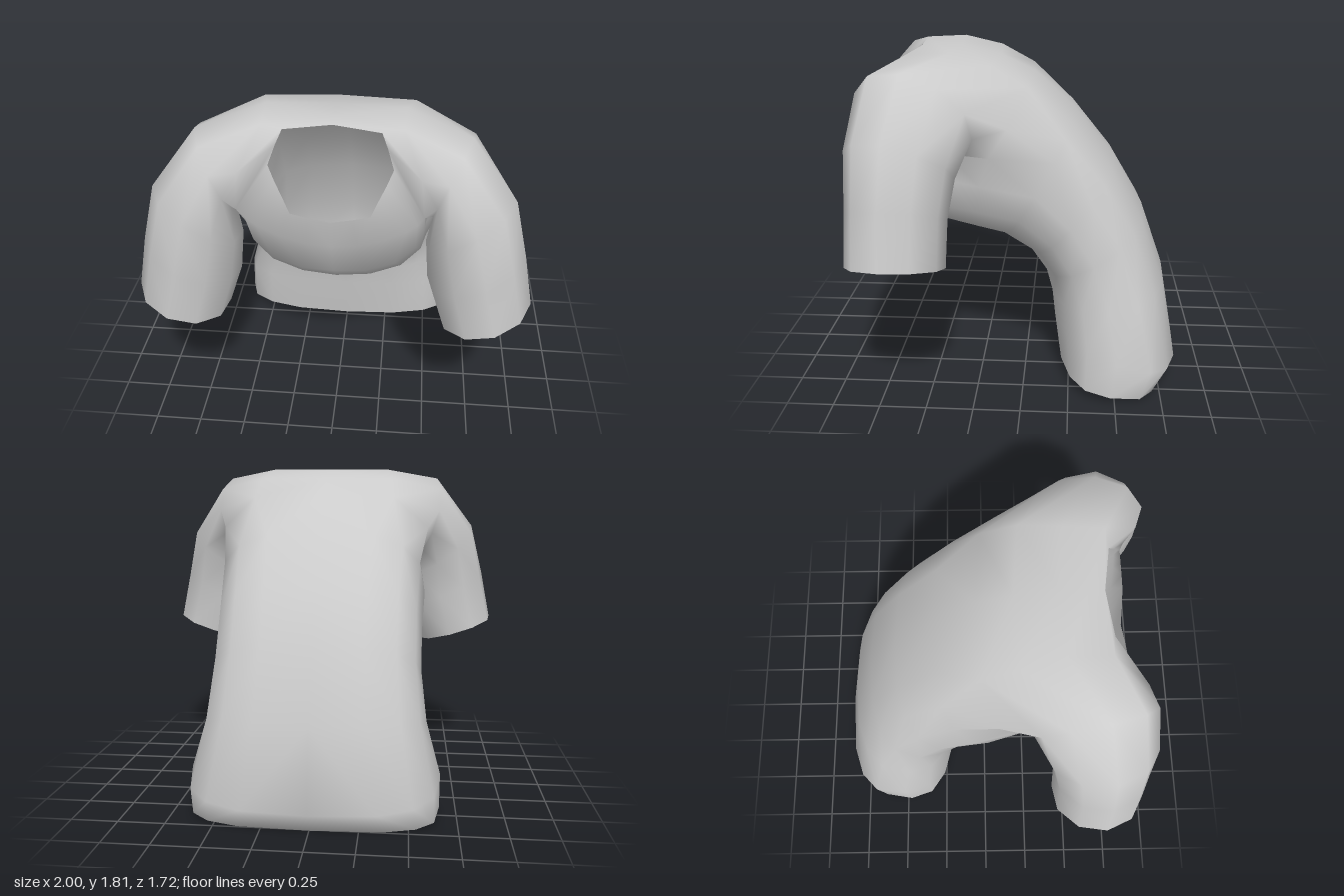
import * as THREE from 'three';
import { mergeVertices } from 'three/addons/utils/BufferGeometryUtils.js';

// Rounded-rectangle half section, from belly centre round the side to back centre.
// back and belly are [z, y] points, w is the half width; pBack and pBelly set the
// roundness of the back and belly corners (1 = ellipse).
function torsoRing(back, belly, w, pBack, pBelly) {
  const ring = [];
  for (let k = 0; k <= 8; k++) {
    const a = (k * Math.PI) / 8;
    const p = k < 4 ? pBelly : pBack;
    const s = k === 8 ? 0 : Math.pow(Math.sin(a), p);
    const c = Math.sign(Math.cos(a)) * Math.pow(Math.abs(Math.cos(a)), p);
    const t = (1 + c) / 2;
    ring.push([w * s, back[1] + (belly[1] - back[1]) * t, back[0] + (belly[0] - back[0]) * t]);
  }
  return ring;
}

// Oval sleeve section: centre, outward half axis (ux, uy), half depth in z,
// how far the rear swings outward and how far the front rises.
function sleeveRing([cx, cy, cz], ux, uy, depth, swing, rise) {
  return Array.from({ length: 10 }, (_, i) => {
    const a = ((i - 4) * Math.PI) / 5 + 0.15;
    const c = Math.cos(a), s = Math.sin(a);
    return [cx + ux * c - swing * s, cy + uy * c + rise * s, cz + depth * s];
  });
}

export function createModel() {
  const group = new THREE.Group();

  // Bent body from hem to upper back
  const rings = [
    torsoRing([-0.76, 0.0], [-0.19, 0.07], 0.66, 0.6, 0.8),
    torsoRing([-0.86, 0.12], [-0.148, 0.34], 0.66, 0.68, 0.85),
    torsoRing([-0.78, 0.55], [-0.135, 0.45], 0.585, 0.75, 0.9),
    torsoRing([-0.65, 0.915], [-0.10, 0.575], 0.555, 0.77, 0.92),
    torsoRing([-0.48, 1.2], [-0.02, 0.69], 0.555, 0.75, 0.92),
    torsoRing([-0.26, 1.47], [0.13, 0.785], 0.57, 0.72, 0.9),
  ];

  // Chest and shoulder sections (null lies inside the armhole)
  rings.push(
    [[0, 0.80, 0.26], [0.20, 0.825, 0.26], [0.37, 0.90, 0.26], [0.47, 1.01, 0.25], [0.51, 1.16, 0.22],
      [0.54, 1.32, 0.17], [0.585, 1.48, 0.07], [0.39, 1.65, -0.02], [0, 1.67, -0.04]],
    [[0, 0.85, 0.45], [0.18, 0.87, 0.45], [0.34, 0.93, 0.44], [0.44, 1.03, 0.42], [0.46, 1.18, 0.40],
      [0.47, 1.32, 0.38], null, [0.38, 1.755, 0.17], [0, 1.755, 0.14]],
    [[0, 0.99, 0.60], [0.16, 1.0, 0.60], [0.31, 1.05, 0.59], [0.41, 1.13, 0.56], [0.45, 1.22, 0.53],
      [0.46, 1.36, 0.53], null, [0.34, 1.81, 0.38], [0, 1.81, 0.36]],
  );

  // Collar surround and neck edge
  rings.push(
    [[0, 1.20, 0.69], [0.13, 1.22, 0.70], [0.26, 1.26, 0.70], [0.36, 1.32, 0.71], [0.41, 1.36, 0.71],
      [0.44, 1.43, 0.75], [0.42, 1.64, 0.78], [0.33, 1.80, 0.60], [0, 1.81, 0.50]],
    [[0, 1.36, 0.72], [0.10, 1.385, 0.73], [0.19, 1.41, 0.735], [0.225, 1.49, 0.72], [0.26, 1.565, 0.705],
      [0.29, 1.64, 0.69], [0.26, 1.72, 0.645], [0.23, 1.785, 0.61], [0, 1.80, 0.575]],
  );

  // Sleeve sections, starting from the armhole edge
  const armhole = [[6, 5], [6, 6], [6, 7], [7, 7], [8, 7], [9, 7], [9, 6], [9, 5], [8, 5], [7, 5]];
  const sleeve = [
    armhole.map(([j, k]) => rings[j][k]),
    sleeveRing([0.575, 1.54, 0.53], 0.08, 0.21, 0.295, 0.05, 0.07),
    sleeveRing([0.665, 1.32, 0.59], 0.21, 0.14, 0.272, 0.02, 0.05),
    sleeveRing([0.71, 1.07, 0.61], 0.235, 0.1, 0.252, 0, 0.01),
    sleeveRing([0.775, 0.82, 0.615], 0.227, 0.07, 0.25, 0, 0),
  ];

  // Every quad is added together with its mirror image
  const positions = [];
  const flip = ([x, y, z]) => [-x, y, z];
  const quad = (a, b, c, d) => {
    positions.push(...a, ...b, ...c, ...a, ...c, ...d);
    const [e, f, g, h] = [a, b, c, d].map(flip);
    positions.push(...e, ...g, ...f, ...e, ...h, ...g);
  };
  for (let j = 0; j < rings.length - 1; j++) {
    for (let k = 0; k < 8; k++) {
      const inArmhole = j >= 6 && j <= 8 && (k === 5 || k === 6);
      if (!inArmhole) quad(rings[j][k], rings[j][k + 1], rings[j + 1][k + 1], rings[j + 1][k]);
    }
  }
  for (let s = 0; s < sleeve.length - 1; s++) {
    for (let i = 0; i < 10; i++) {
      const n = (i + 1) % 10;
      quad(sleeve[s][i], sleeve[s][n], sleeve[s + 1][n], sleeve[s + 1][i]);
    }
  }

  let geometry = new THREE.BufferGeometry();
  geometry.setAttribute('position', new THREE.Float32BufferAttribute(positions, 3));
  geometry = mergeVertices(geometry, 1e-4);
  geometry.computeVertexNormals();

  const shirt = new THREE.Mesh(
    geometry,
    new THREE.MeshStandardMaterial({ color: 0xcccccc, side: THREE.DoubleSide }),
  );
  shirt.name = 'shirt';
  group.add(shirt);
  return group;
}
